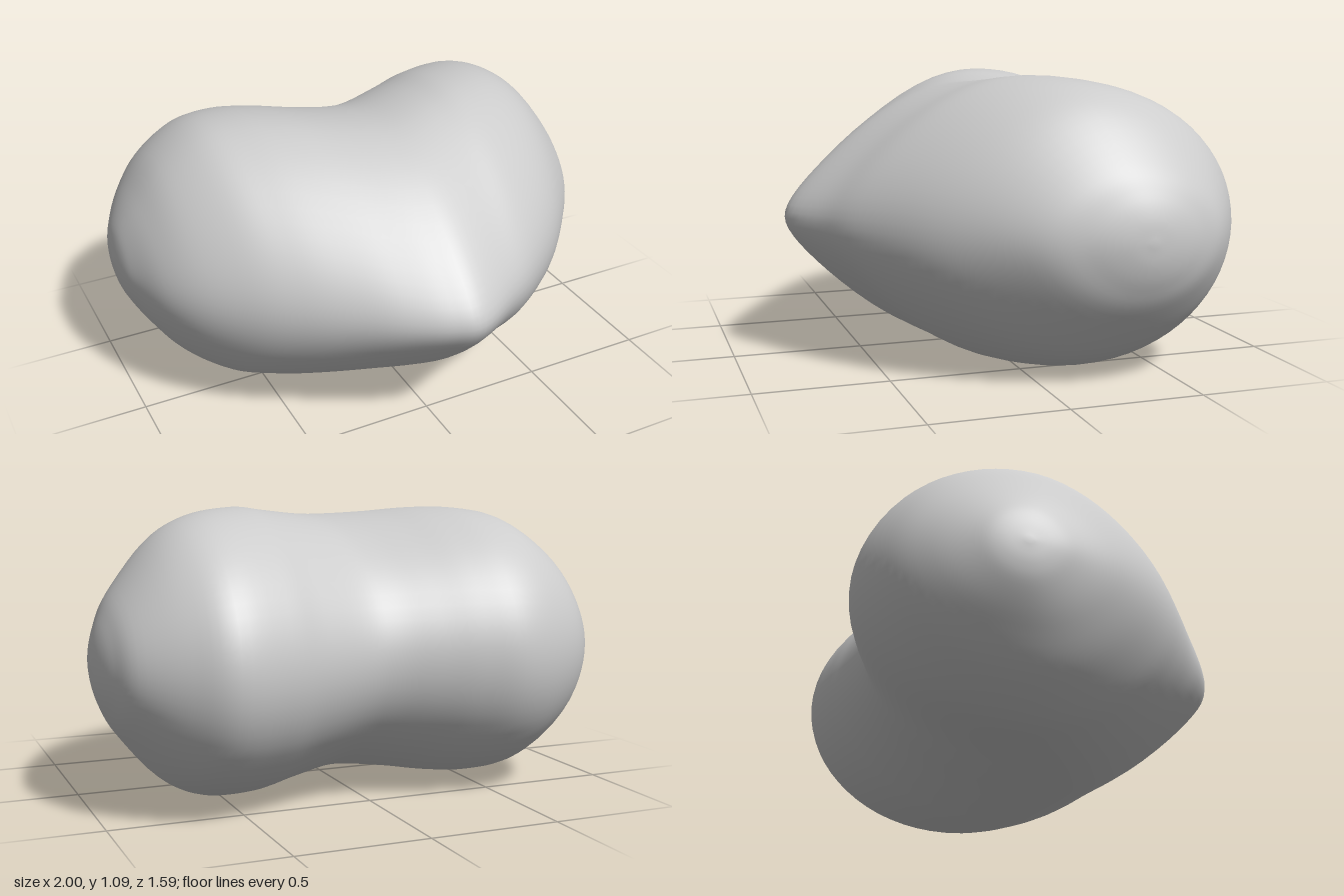
import * as THREE from 'three';
import { mergeVertices } from 'three/addons/utils/BufferGeometryUtils.js';

// Cross-sections from right to left: x, back z, front z, half height
const SECTIONS = [
  [-1, -0.25, -0.25, 0], [-0.99, -0.35, -0.15, 0.085], [-0.965, -0.43, -0.06, 0.16],
  [-0.9, -0.56, 0.1, 0.27], [-0.8, -0.67, 0.24, 0.4], [-0.65, -0.75, 0.38, 0.505],
  [-0.5, -0.78, 0.49, 0.535], [-0.35, -0.75, 0.59, 0.535], [-0.2, -0.705, 0.69, 0.52],
  [-0.05, -0.665, 0.77, 0.51], [0.07, -0.663, 0.79, 0.51], [0.25, -0.71, 0.69, 0.53],
  [0.4, -0.76, 0.6, 0.546], [0.6, -0.8, 0.44, 0.52], [0.75, -0.73, 0.28, 0.44],
  [0.9, -0.61, 0.08, 0.27], [0.96, -0.5, -0.08, 0.17], [0.99, -0.4, -0.2, 0.085],
  [1, -0.3, -0.3, 0],
];
const MID_Y = 0.548;

function heartGeometry(slices, ring) {
  const curve = (pick) => new THREE.CatmullRomCurve3(SECTIONS.map(pick), false, 'catmullrom', 0.5);
  const outline = curve(([x, back, front]) => new THREE.Vector3(x, back, front));
  const thickness = curve(([x, , , h]) => new THREE.Vector3(x, h, 0));
  const positions = [], index = [];

  for (let i = 0; i <= slices; i++) {
    const { x, y: back, z: front } = outline.getPoint(i / slices);
    const height = thickness.getPoint(i / slices).y;
    // the front narrows most near the middle, drawing out the tip
    const taper = 0.18 + 0.34 * Math.exp(-((x / 0.4) ** 2));
    for (let j = 0; j < ring; j++) {
      const a = (j / ring) * Math.PI * 2;
      const c = Math.max(0, Math.cos(a));
      const h = height * Math.sin(a) * (1 - taper * c * c);
      positions.push(x, MID_Y + h, (front + back) / 2 + ((front - back) / 2) * Math.cos(a));
    }
  }
  for (let i = 0; i < slices; i++) {
    for (let j = 0; j < ring; j++) {
      const k = (j + 1) % ring;
      const a = i * ring + j, b = a + ring, c = (i + 1) * ring + k, d = i * ring + k;
      if (i < slices - 1) index.push(a, b, c); // skip collapsed faces at the ends
      if (i > 0) index.push(a, c, d);
      else continue;
      if (i === slices - 1) continue;
    }
  }
  const geometry = new THREE.BufferGeometry();
  geometry.setAttribute('position', new THREE.Float32BufferAttribute(positions, 3));
  geometry.setIndex(index);
  const merged = mergeVertices(geometry, 1e-5);
  merged.computeVertexNormals();
  return merged;
}

export function createModel() {
  const group = new THREE.Group();
  group.name = 'puffyHeart';
  const grey = new THREE.MeshStandardMaterial({ color: 0xcccccc });
  grey.name = 'lightGrey';
  const heart = new THREE.Mesh(heartGeometry(90, 64), grey);
  heart.name = 'heartBody';
  group.add(heart);
  return group;
}
